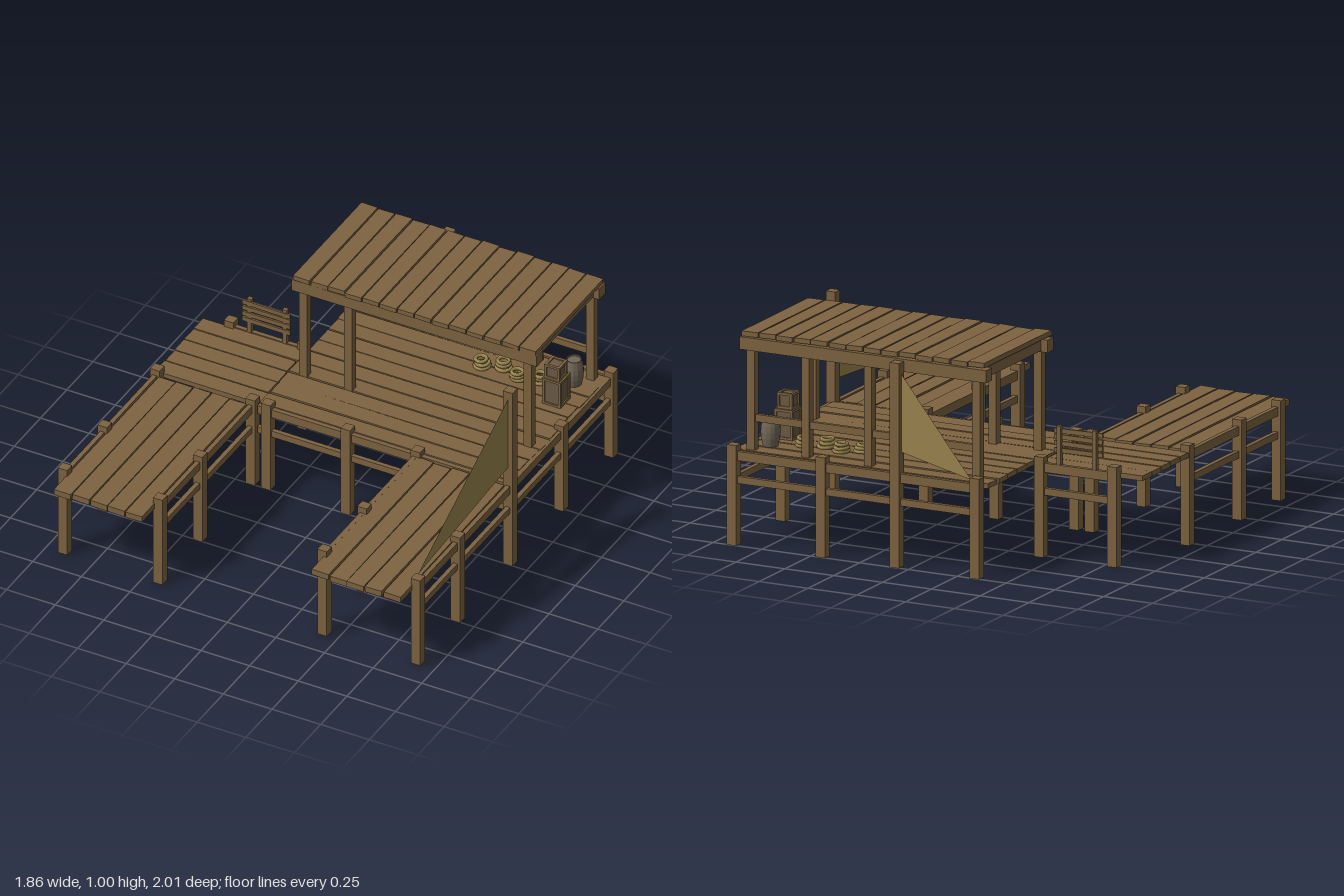
import * as THREE from 'three';

const wood = new THREE.MeshStandardMaterial({ color: 0x7d6341 });
const darkWood = new THREE.MeshStandardMaterial({ color: 0x6c5b45 });
const cloth = new THREE.MeshStandardMaterial({ color: 0x9c8650, side: THREE.DoubleSide });
const rope = new THREE.MeshStandardMaterial({ color: 0x9c8650 });

// Seeded random in the range -1..1, for the uneven planks
let seed = 7;
function jitter(amount) {
  seed = (seed * 16807) % 2147483647;
  return (seed / 2147483647 * 2 - 1) * amount;
}

function add(parent, name, geometry, material, x, y, z) {
  const mesh = new THREE.Mesh(geometry, material);
  mesh.name = name;
  mesh.position.set(x, y, z);
  parent.add(mesh);
  return mesh;
}

// Box given by its limits on each axis
function box(parent, name, [x0, x1], [y0, y1], [z0, z1], material = wood) {
  return add(parent, name, new THREE.BoxGeometry(x1 - x0, y1 - y0, z1 - z0), material,
    (x0 + x1) / 2, (y0 + y1) / 2, (z0 + z1) / 2);
}

function post(parent, name, x, z, y0, y1, w = 0.048) {
  return box(parent, name, [x - w / 2, x + w / 2], [y0, y1], [z - w / 2, z + w / 2]);
}

// Horizontal beam along x or z, centred on the line between two points
function beam(parent, name, x0, z0, x1, z1, y0, y1, w = 0.022) {
  const alongX = z0 === z1;
  const h = w / 2;
  return box(parent, name, alongX ? [x0, x1] : [x0 - h, x0 + h], [y0, y1],
    alongX ? [z0 - h, z0 + h] : [z0, z1]);
}

// A floor of slightly uneven planks, laid along x or z
function planks(parent, name, [x0, x1], [y0, y1], [z0, z1], count, along) {
  const group = new THREE.Group();
  group.name = name;
  const a = along === 'x' ? z0 : x0;
  const pitch = ((along === 'x' ? z1 : x1) - a) / count;
  for (let i = 0; i < count; i++) {
    const across = [a + i * pitch + 0.003, a + (i + 1) * pitch - 0.003];
    const up = jitter(0.003);
    const ys = [y0 + up, y1 + up];
    const plank = along === 'x'
      ? box(group, 'plank', [x0 + jitter(0.006), x1 + jitter(0.006)], ys, across)
      : box(group, 'plank', across, ys, [z0 + jitter(0.004), z1 + jitter(0.004)]);
    plank.rotation.y = jitter(0.004);
    plank.rotation[along === 'x' ? 'x' : 'z'] = jitter(0.03);
  }
  parent.add(group);
}

function sail(parent, name, corners) {
  const geometry = new THREE.BufferGeometry();
  geometry.setAttribute('position', new THREE.Float32BufferAttribute(corners.flat(), 3));
  geometry.computeVertexNormals();
  add(parent, name, geometry, cloth, 0, 0, 0);
}

function crate(parent, x, y, z, w, h) {
  const group = new THREE.Group();
  group.name = 'crate';
  group.position.set(x, y, z);
  const r = w / 2, t = 0.012;
  box(group, 'crateBody', [-r + 0.006, r - 0.006], [0.004, h - 0.006], [-r + 0.006, r - 0.006], darkWood);
  for (const s of [-1, 1]) {
    for (const q of [-1, 1]) post(group, 'crateCorner', s * (r - t / 2), q * (r - t / 2), 0, h, t);
    for (const y0 of [0, h - t]) {
      beam(group, 'crateEdge', -r, s * (r - t / 2), r, s * (r - t / 2), y0, y0 + t, t);
      beam(group, 'crateEdge', s * (r - t / 2), -r, s * (r - t / 2), r, y0, y0 + t, t);
    }
  }
  parent.add(group);
}

export function createModel() {
  const model = new THREE.Group();
  model.name = 'dock';

  // Floors of the main deck, side landing and two piers
  planks(model, 'mainDeck', [-0.39, 0.9], [0.42, 0.443], [-0.96, -0.03], 10, 'x');
  planks(model, 'sideLanding', [-0.93, -0.4], [0.413, 0.437], [-0.5, -0.03], 5, 'x');
  for (const x of [-0.665, 0.66]) {
    planks(model, 'pier', [x - 0.23, x + 0.23], [0.407, 0.437], [0, 1], 5, 'z');
  }

  // Support posts, two of them tall to carry the sails
  const supports = [
    [-0.34, -0.98], [0.07, -0.98, 0.96], [0.45, -0.98], [0.905, -0.98], [0.905, -0.505],
    [-0.34, -0.02], [0.07, -0.02], [0.43, -0.02], [0.905, -0.02, 0.96],
    [-0.795, -0.51], [-0.42, -0.51], [-0.91, -0.02], [-0.42, -0.02]
  ];
  for (const x of [-0.91, -0.42, 0.425, 0.905]) supports.push([x, 0.48], [x, 0.86]);
  for (const [x, z, top = 0.47] of supports) post(model, 'supportPost', x, z, 0, top);

  // Edge beams and lower braces between the posts
  const edges = [
    [-0.34, -0.98, 0.905, -0.98], [-0.39, -0.02, 0.905, -0.02], [-0.795, -0.51, -0.4, -0.51],
    [0.905, -0.98, 0.905, -0.02]
  ];
  for (const x of [-0.91, -0.42, 0.425, 0.905]) edges.push([x, -0.02, x, 0.86]);
  for (const e of edges) {
    beam(model, 'edgeBeam', ...e, 0.397, 0.44);
    beam(model, 'lowerBrace', ...e, 0.29, 0.323);
  }

  // Shelter: posts, roof frame, back rail and plank roof
  const shelter = new THREE.Group();
  shelter.name = 'shelter';
  model.add(shelter);
  for (const x of [-0.315, -0.083, 0.84]) post(shelter, 'shelterPost', x, -0.325, 0.44, 0.92, 0.04);
  for (const x of [-0.315, 0.24, 0.56, 0.84]) post(shelter, 'shelterPost', x, -0.92, 0.44, 0.92, 0.04);
  for (const z of [-0.325, -0.92]) beam(shelter, 'roofBeam', -0.37, z, 0.892, z, 0.908, 0.967, 0.058);
  for (const x of [-0.315, 0.84]) beam(shelter, 'roofBeam', x, -0.92, x, -0.325, 0.914, 0.962, 0.045);
  beam(shelter, 'backRail', -0.315, -0.92, 0.84, -0.92, 0.573, 0.607, 0.02);
  planks(shelter, 'roof', [-0.36, 0.89], [0.971, 0.994], [-0.94, -0.29], 14, 'z');

  // Triangular sails
  sail(model, 'rightSail', [[0.905, 0.92, 0], [0.905, 0.54, 0], [0.905, 0.485, 0.86]]);
  sail(model, 'backSail', [[0.05, 0.91, -0.98], [0.05, 0.54, -0.98], [-0.31, 0.455, -0.98]]);

  // Slatted fence at the back of the side landing
  const fence = new THREE.Group();
  fence.name = 'slatFence';
  model.add(fence);
  for (const x of [-0.695, -0.513]) post(fence, 'fencePost', x, -0.507, 0.43, 0.622, 0.022);
  for (const y of [0.505, 0.537, 0.568, 0.597]) {
    const slat = beam(fence, 'slat', -0.73, -0.497, -0.483, -0.497, y - 0.011, y + 0.011, 0.01);
    slat.rotation.z = jitter(0.02);
  }

  // Stacked crates and a barrel
  crate(model, 0.785, 0.443, -0.68, 0.095, 0.142);
  crate(model, 0.785, 0.585, -0.677, 0.078, 0.075);
  const barrelProfile = [[0, 0], [0.035, 0], [0.044, 0.04], [0.046, 0.068], [0.044, 0.096], [0.036, 0.136], [0.032, 0.136], [0.032, 0.128], [0, 0.128]]
    .map(([r, y]) => new THREE.Vector2(r, y));
  const barrelWood = new THREE.MeshStandardMaterial({ color: 0x736858, flatShading: true });
  add(model, 'barrel', new THREE.LatheGeometry(barrelProfile, 14), barrelWood, 0.79, 0.443, -0.84);

  // Coils of rope on the deck
  [[0.36, -0.76], [0.455, -0.79], [0.55, -0.75], [0.65, -0.78]].forEach(([x, z]) => {
    const coil = new THREE.Group();
    coil.name = 'ropeCoil';
    coil.position.set(x, 0.443, z);
    for (let i = 0; i < 3; i++) {
      const ring = add(coil, 'ropeTurn', new THREE.TorusGeometry(0.034 - i * 0.004, 0.009, 6, 16), rope,
        jitter(0.004), 0.009 + i * 0.016, jitter(0.004));
      ring.rotation.x = Math.PI / 2 + jitter(0.1);
    }
    model.add(coil);
  });

  return model;
}
